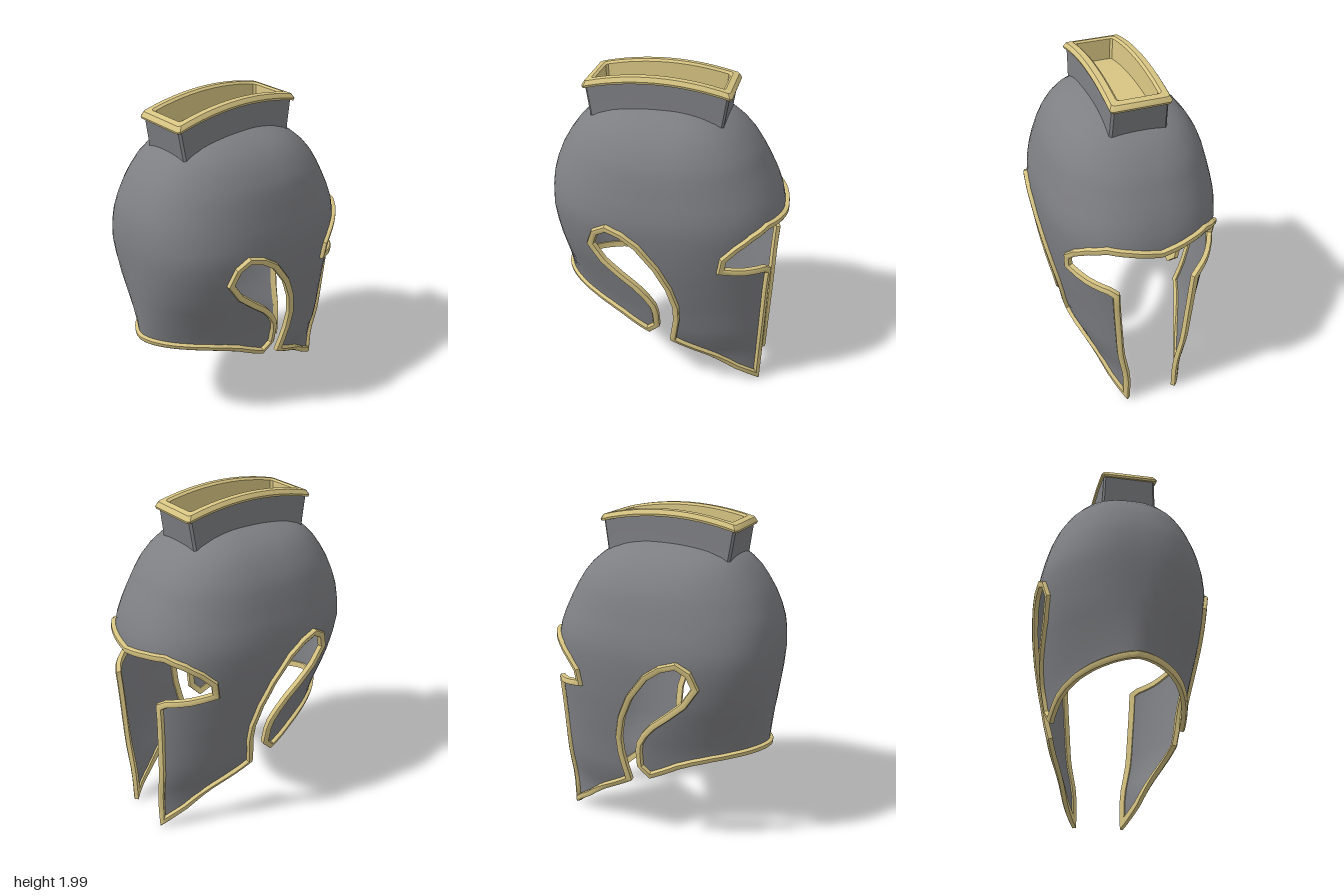
import * as THREE from 'three';
import { toCreasedNormals } from 'three/addons/utils/BufferGeometryUtils.js';

const TOP = 1.84;

// Skull cross-sections: height, half width, depth behind, depth in front,
// squareness behind, squareness in front (2 is an ellipse)
const SECTIONS = [
  [0, 0.28, 0.63, 0.675, 1.55, 2.3], [0.22, 0.295, 0.635, 0.675, 1.55, 2.3],
  [0.42, 0.373, 0.64, 0.675, 1.55, 2.3], [0.63, 0.417, 0.65, 0.675, 1.6, 2.3],
  [0.8, 0.452, 0.662, 0.675, 1.85, 2.3], [1, 0.485, 0.68, 0.678, 2.3, 2.35],
  [1.2, 0.503, 0.693, 0.674, 2.6, 2.4], [1.31, 0.495, 0.69, 0.65, 2.55, 2.4],
  [1.41, 0.475, 0.675, 0.61, 2.5, 2.35], [1.52, 0.448, 0.635, 0.55, 2.4, 2.35],
  [1.6, 0.418, 0.59, 0.5, 2.4, 2.4], [1.7, 0.352, 0.51, 0.405, 2.5, 2.5],
  [1.77, 0.265, 0.41, 0.29, 2.6, 2.6], [1.82, 0.14, 0.24, 0.14, 2.6, 2.6],
  [TOP, 0, 0, 0, 2.6, 2.6],
];

// Free edge of one half in side view (z, y): neck rim, ear hole, cheek, eye, brow
const EDGE = [
  [0.75, 0.635], [0.6, 0.628], [0.5, 0.615], [0.4, 0.598], [0.3, 0.573], [0.22, 0.545], [0.05, 0.46],
  [-0.015, 0.53], [-0.012, 0.64], [0, 0.7], [0.04, 0.77], [0.1, 0.84], [0.19, 0.915], [0.285, 1],
  [0.35, 1.1], [0.32, 1.18], [0.26, 1.215], [0.18, 1.19], [0.095, 1.13],
  [-0.01, 0.99], [-0.075, 0.85], [-0.11, 0.71], [-0.11, 0.6], [-0.08, 0.41],
  [-0.31, 0.255], [-0.46, 0.13], [-0.6, 0.015], [-0.612, 0.5], [-0.625, 0.93], [-0.6, 0.96],
  [-0.5, 0.985], [-0.39, 1.015], [-0.4, 1.08], [-0.46, 1.14], [-0.53, 1.19],
  [-0.6, 1.225], [-0.65, 1.215], [-0.8, 1.185],
];

// Smooth interpolation of the section table by height
function section(y) {
  const S = SECTIONS, last = S.length - 1;
  let i = 0;
  while (i < last - 1 && y > S[i + 1][0]) i++;
  const h = S[i + 1][0] - S[i][0];
  const t = THREE.MathUtils.clamp((y - S[i][0]) / h, 0, 1);
  const slope = (k, c) => {
    const a = Math.max(k - 1, 0), b = Math.min(k + 1, last);
    return (S[b][c] - S[a][c]) / (S[b][0] - S[a][0]);
  };
  return [1, 2, 3, 4, 5].map((c) => Math.max(0,
    S[i][c] * (2 * t ** 3 - 3 * t * t + 1) + S[i + 1][c] * (3 * t * t - 2 * t ** 3) +
    h * slope(i, c) * (t ** 3 - 2 * t * t + t) + h * slope(i + 1, c) * (t ** 3 - t * t)));
}

// Skull surface: angle 0 is the nape, PI the face
function surface(a, y) {
  const [w, back, front, nBack, nFront] = section(y);
  const s = Math.sin(a), c = Math.cos(a), n = c > 0 ? nBack : nFront;
  const k = (Math.abs(s) ** n + Math.abs(c) ** n) ** (1 / n);
  return new THREE.Vector3((w * s) / k, y, ((c > 0 ? back : front) * c) / k);
}

function surfaceNormal(a, y) {
  const e = 0.004, v = Math.min(y, TOP - 0.006);
  const da = surface(a + e, v).sub(surface(a - e, v));
  const dy = surface(a, v + e).sub(surface(a, v - e));
  return da.cross(dy).normalize();
}

// Edge mapped to (angle, height) and evenly subdivided
function edgePath() {
  const pts = EDGE.map(([z, y]) => {
    const [, back, front, nBack, nFront] = section(y);
    const n = z > 0 ? nBack : nFront;
    const r = THREE.MathUtils.clamp(z / (z > 0 ? back : front), -1, 1);
    return new THREE.Vector2(Math.atan2((1 - Math.abs(r) ** n) ** (1 / n), r), y);
  });
  const path = [pts[0]];
  for (let i = 1; i < pts.length; i++) {
    const n = Math.max(1, Math.round(pts[i].distanceTo(pts[i - 1]) / 0.08));
    for (let k = 1; k <= n; k++) path.push(pts[i - 1].clone().lerp(pts[i], k / n));
  }
  return path;
}

// Keep the part of a polygon where sign * (p[axis] - value) >= 0
function clip(poly, axis, value, sign) {
  const out = [];
  poly.forEach((p, i) => {
    const q = poly[(i + 1) % poly.length];
    const dp = sign * (p[axis] - value), dq = sign * (q[axis] - value);
    if (dp >= 0) out.push(p);
    if ((dp > 0 && dq < 0) || (dp < 0 && dq > 0)) out.push(p.clone().lerp(q, dp / (dp - dq)));
  });
  return out;
}

// Half shell: the outline is cut into grid cells and wrapped on the skull
function shellGeometry(path) {
  const outline = [...path, new THREE.Vector2(Math.PI, TOP), new THREE.Vector2(0, TOP)];
  const rows = [1.3, 1.38, 1.46, 1.54, 1.61, 1.67, 1.72, 1.76, 1.79, 1.815, 1.83, TOP];
  for (let i = 12; i >= 0; i--) rows.unshift(i / 10);
  const cols = 32, pos = [], nor = [];
  for (let c = 0; c < cols; c++) {
    const a0 = (c / cols) * Math.PI, a1 = ((c + 1) / cols) * Math.PI;
    const strip = clip(clip(outline, 'x', a0, 1), 'x', a1, -1);
    for (let r = 0; r < rows.length - 1; r++) {
      const cell = clip(clip(strip, 'y', rows[r], 1), 'y', rows[r + 1], -1)
        .filter((p, i, all) => p.distanceTo(all[(i + 1) % all.length]) > 1e-6);
      if (cell.length < 3) continue;
      for (const f of THREE.ShapeUtils.triangulateShape(cell.slice(), [])) {
        const t = f.map((k) => cell[k]);
        const area = t[1].clone().sub(t[0]).cross(t[2].clone().sub(t[0]));
        if (Math.abs(area) < 1e-9) continue;
        if (area < 0) t.reverse();
        for (const p of t) {
          pos.push(...surface(p.x, p.y).toArray());
          nor.push(...surfaceNormal(p.x, p.y).toArray());
        }
      }
    }
  }
  const g = new THREE.BufferGeometry();
  g.setAttribute('position', new THREE.Float32BufferAttribute(pos, 3));
  g.setAttribute('normal', new THREE.Float32BufferAttribute(nor, 3));
  return g;
}

// Skin over a series of closed rings
function loft(rings, crease) {
  const n = rings[0].length, idx = [];
  for (let i = 0; i < rings.length - 1; i++) {
    for (let k = 0; k < n; k++) {
      const a = i * n + k, b = i * n + ((k + 1) % n);
      idx.push(a, b, b + n, a, b + n, a + n);
    }
  }
  const g = new THREE.BufferGeometry().setFromPoints(rings.flat());
  g.setIndex(idx);
  return toCreasedNormals(g, crease);
}

// Raised border swept along the free edge
function trimGeometry(path) {
  const profile = [[0.032, -0.012], [0.032, 0.012], [0.026, 0.021], [0.006, 0.021], [-0.005, 0.014], [-0.005, -0.012]];
  const P = path.map((p) => surface(p.x, p.y));
  const rings = P.map((p, i) => {
    const N = surfaceNormal(path[i].x, path[i].y);
    let T, miter = 1;
    if (i === 0 || i === P.length - 1) T = new THREE.Vector3(i ? -1 : 1, 0, 0);
    else {
      const next = P[i + 1].clone().sub(p).normalize();
      T = p.clone().sub(P[i - 1]).normalize().add(next).normalize();
      miter = 1 / Math.max(0.6, T.dot(next));
    }
    const B = N.clone().cross(T).normalize();
    return profile.map(([b, n]) => p.clone().addScaledVector(B, b * miter).addScaledVector(N, n));
  });
  return loft(rings, 0.6);
}

// Mirror a non-indexed geometry in x, keeping faces outward
function mirrored(geometry) {
  const g = geometry.clone();
  for (const { array } of Object.values(g.attributes)) {
    for (let i = 0; i < array.length; i += 9) {
      for (let k = 3; k < 6; k++) [array[i + k], array[i + k + 3]] = [array[i + k + 3], array[i + k]];
    }
  }
  return g.scale(-1, 1, 1);
}

// Bevelled rectangle following the arch of the crest
function crestRing([hx, z0, z1, drop]) {
  const c = Math.min(0.012, hx), n = 12, half = [];
  const arch = (z) => 1.995 - 0.055 * ((z - 0.05) / 0.41) ** 2 - drop;
  for (let i = 0; i <= n; i++) half.push([hx, z1 - c + ((z0 - z1 + 2 * c) * i) / n]);
  half.unshift([hx - c, z1]);
  half.push([hx - c, z0]);
  const all = [...half, ...half.slice().reverse().map(([x, z]) => [-x, z])];
  return all.map(([x, z]) => new THREE.Vector3(x, arch(z), z));
}

export function createModel() {
  const steel = new THREE.MeshStandardMaterial({ color: 0x7e7f83, side: THREE.DoubleSide });
  steel.name = 'steel grey';
  const gold = new THREE.MeshStandardMaterial({ color: 0xd8c583, side: THREE.DoubleSide });
  gold.name = 'pale gold';
  const model = new THREE.Group();
  model.name = 'helmet';
  const add = (name, geometry, material) => {
    const mesh = new THREE.Mesh(geometry, material);
    mesh.name = name;
    model.add(mesh);
  };

  // Shell and border, left and right halves
  const path = edgePath();
  const shell = shellGeometry(path), trim = trimGeometry(path);
  add('leftShell', shell, steel);
  add('rightShell', mirrored(shell), steel);
  add('leftTrim', trim, gold);
  add('rightTrim', mirrored(trim), gold);

  // Crest holder: grey walls, gold lip and hollow tray (half width, z range, drop)
  add('crestBase', loft([
    [0.165, -0.315, 0.425, 0.24], [0.16, -0.325, 0.435, 0.17], [0.156, -0.345, 0.455, 0.03],
  ].map(crestRing), 0.6), steel);
  add('crestRim', loft([
    [0.15, -0.34, 0.45, 0.04], [0.168, -0.358, 0.466, 0.038], [0.172, -0.362, 0.47, 0.025],
    [0.166, -0.356, 0.464, 0.014], [0.158, -0.348, 0.456, 0.002], [0.125, -0.318, 0.425, 0],
    [0.112, -0.305, 0.412, 0.012], [0.104, -0.298, 0.405, 0.135], [0, -0.298, 0.405, 0.135],
  ].map(crestRing), 0.6), gold);
  return model;
}
